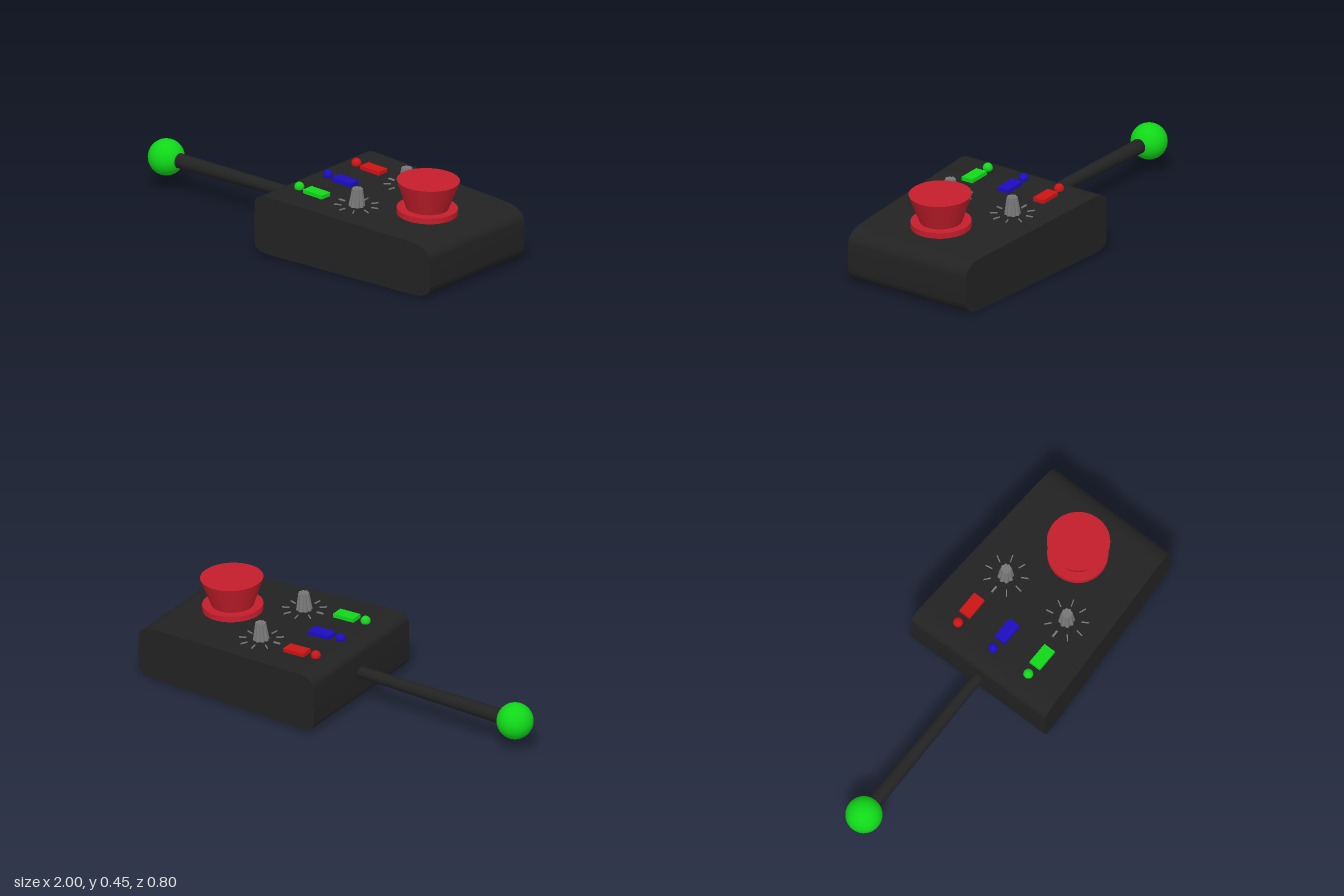
import * as THREE from 'three';
import { toCreasedNormals } from 'three/addons/utils/BufferGeometryUtils.js';

const mat = (color) => new THREE.MeshStandardMaterial({ color });
const black = mat(0x222222), crimson = mat(0xc41e2b), grey = mat(0x777777);
const red = mat(0xcc1414), blue = mat(0x1c0cc0), green = mat(0x10d818);

function add(parent, name, geometry, material, x = 0, y = 0, z = 0) {
  const mesh = new THREE.Mesh(geometry, material);
  mesh.name = name;
  mesh.position.set(x, y, z);
  parent.add(mesh);
  return mesh;
}

// Rounded side profile, extruded across z and narrowed towards +x
function bodyGeometry() {
  const s = new THREE.Shape();
  s.moveTo(-0.035, 0.056);
  s.lineTo(-0.035, 0.255);
  s.bezierCurveTo(-0.035, 0.285, 0, 0.302, 0.05, 0.301);
  s.lineTo(0.88, 0.265);
  s.bezierCurveTo(0.95, 0.262, 1, 0.24, 1, 0.195);
  s.lineTo(1, 0.06);
  s.bezierCurveTo(1, 0.025, 0.96, 0, 0.9, 0.001);
  s.lineTo(0.05, 0.013);
  s.bezierCurveTo(0, 0.014, -0.035, 0.03, -0.035, 0.056);
  const g = new THREE.ExtrudeGeometry(s, { depth: 2, bevelEnabled: false, curveSegments: 10 });
  g.translate(0, 0, -1);
  const p = g.attributes.position;
  for (let i = 0; i < p.count; i++) {
    p.setZ(i, p.getZ(i) * (0.402 - 0.055 * (p.getX(i) + 0.035) / 1.035));
  }
  return toCreasedNormals(g, 0.5);
}

// Tapered knob with scalloped flutes
function knobGeometry() {
  const g = new THREE.CylinderGeometry(0.026, 0.04, 0.088, 48, 1);
  const p = g.attributes.position;
  for (let i = 0; i < p.count; i++) {
    const a = Math.atan2(p.getZ(i), p.getX(i));
    const k = 0.8 + 0.2 * Math.abs(Math.cos(a * 4));
    p.setX(i, p.getX(i) * k);
    p.setZ(i, p.getZ(i) * k);
  }
  return toCreasedNormals(g, 0.5);
}

export function createModel() {
  const model = new THREE.Group();
  model.name = 'controlBox';

  add(model, 'body', bodyGeometry(), black);

  // Lever with ball end
  const rod = add(model, 'leverRod', new THREE.CylinderGeometry(0.037, 0.027, 0.9, 32), black, -0.45, 0.163, 0);
  rod.rotation.z = Math.PI / 2;
  add(model, 'leverBall', new THREE.SphereGeometry(0.088, 40, 28), green, -0.912, 0.163, 0);

  // Controls sit on the slightly sloping top
  const panel = new THREE.Group();
  panel.name = 'controlPanel';
  panel.position.set(0.035, 0.302, 0);
  panel.rotation.z = -0.043;
  model.add(panel);

  // Indicator lamps and push buttons
  [['red', red, -0.21], ['blue', blue, 0], ['green', green, 0.21]].forEach(([name, m, z]) => {
    add(panel, name + 'Lamp', new THREE.SphereGeometry(0.024, 24, 16), m, 0.046, 0.01, z);
    add(panel, name + 'Button', new THREE.BoxGeometry(0.115, 0.024, 0.062), m, 0.153, 0.007, z);
  });

  // Dials with tick marks
  for (const side of [-1, 1]) {
    const dial = new THREE.Group();
    dial.name = side < 0 ? 'backDial' : 'frontDial';
    dial.position.set(0.377, 0, side * 0.182);
    panel.add(dial);
    add(dial, 'knob', knobGeometry(), grey, 0, 0.044, 0);
    add(dial, 'knobCap', new THREE.CylinderGeometry(0.013, 0.013, 0.003, 16), grey, 0, 0.0885, 0);
    for (let i = 0; i < 9; i++) {
      const a = Math.PI + i * Math.PI * 2 / 9;
      const tick = add(dial, 'tick', new THREE.BoxGeometry(0.036, 0.006, i ? 0.005 : 0.009), grey,
        0.09 * Math.cos(a), 0.002, 0.09 * Math.sin(a));
      tick.rotation.y = -a;
    }
  }

  // Large stop button
  const stop = new THREE.Group();
  stop.name = 'stopButton';
  stop.position.set(0.673, 0, 0.018);
  panel.add(stop);
  add(stop, 'stopCollar', new THREE.CylinderGeometry(0.145, 0.145, 0.036, 48), crimson, 0, 0.01, 0);
  add(stop, 'stopCap', new THREE.CylinderGeometry(0.15, 0.1, 0.142, 48), crimson, 0, 0.096, 0);

  return model;
}
